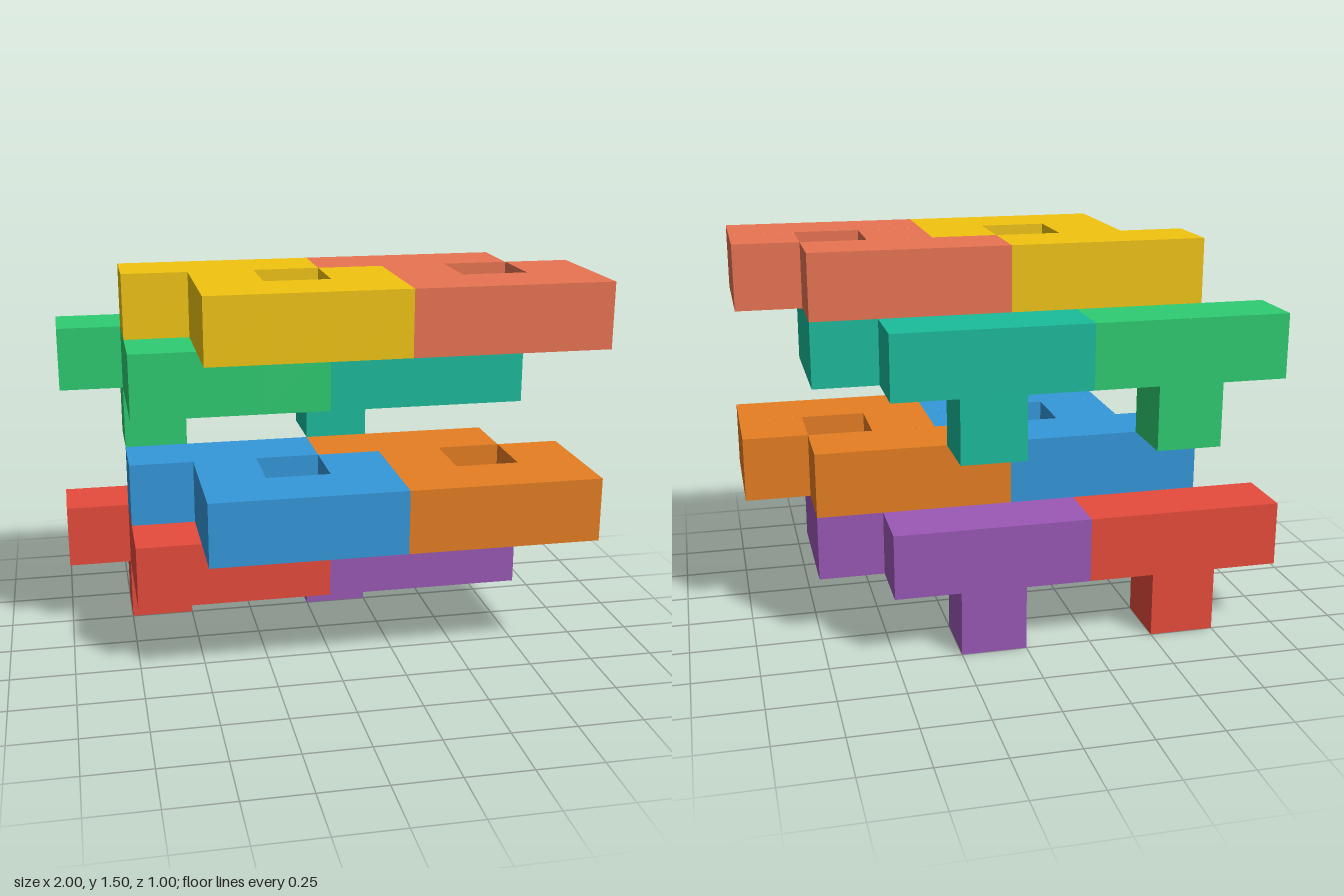
import * as THREE from 'three';
import { mergeGeometries } from 'three/addons/utils/BufferGeometryUtils.js';

const U = 0.25; // edge of one cube cell

// One interlocking piece: a stepped ring of eight cells plus one peg below
const CELLS = [
  [0, 0, 0], [1, 0, 0], [2, 0, 0], // back row
  [1, 0, 1], [3, 0, 1], // sides of the hole
  [1, 0, 2], [2, 0, 2], [3, 0, 2], // front row
  [1, -1, 0], // peg
];

const DIRECTIONS = [
  [1, 0, 0], [-1, 0, 0], [0, 1, 0], [0, -1, 0], [0, 0, 1], [0, 0, -1],
].map((d) => new THREE.Vector3(...d));

// Joins cells into one skin, keeping only faces without a neighbouring cell
function cellGeometry(cells) {
  const filled = new Set(cells.map(String));
  const faces = [];
  for (const [x, y, z] of cells) {
    for (const d of DIRECTIONS) {
      if (filled.has(String([x + d.x, y + d.y, z + d.z]))) continue;
      const face = new THREE.PlaneGeometry(U, U);
      face.lookAt(d);
      face.translate(
        (x + 0.5 + d.x / 2) * U,
        (y + 0.5 + d.y / 2) * U,
        (z + 0.5 + d.z / 2) * U,
      );
      faces.push(face);
    }
  }
  return mergeGeometries(faces);
}

// Name, colour and cell position of each piece, from the bottom up
const PIECES = [
  ['redPiece', 0xe74c3c, [-4, 1, -2]],
  ['purplePiece', 0x9b59b6, [-1, 1, -2]],
  ['bluePiece', 0x3498db, [-3, 2, -1]],
  ['orangePiece', 0xe67e22, [0, 2, -1]],
  ['greenPiece', 0x2ecc71, [-4, 4, -2]],
  ['tealPiece', 0x1abc9c, [-1, 4, -2]],
  ['yellowPiece', 0xf1c40f, [-3, 5, -1]],
  ['salmonPiece', 0xe97451, [0, 5, -1]],
];

export function createModel() {
  const model = new THREE.Group();
  model.name = 'interlockingBlocks';
  const geometry = cellGeometry(CELLS);
  for (const [name, color, cell] of PIECES) {
    const piece = new THREE.Mesh(geometry, new THREE.MeshStandardMaterial({ color }));
    piece.name = name;
    piece.position.set(...cell).multiplyScalar(U);
    model.add(piece);
  }
  return model;
}
